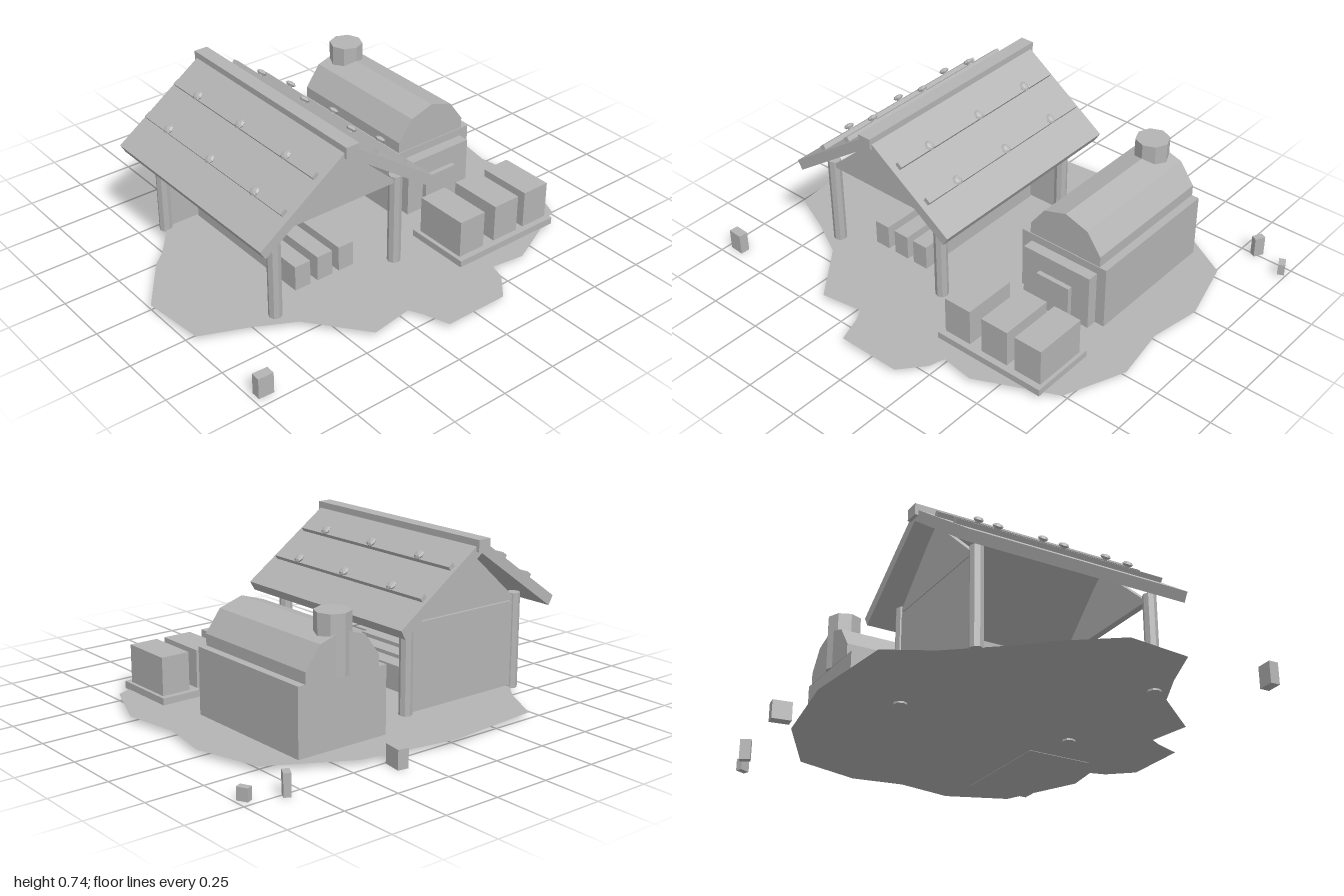
import * as THREE from 'three';

export function createModel() {
  const model = new THREE.Group();
  const grey = new THREE.MeshStandardMaterial({ color: 0xb4b4b4, flatShading: true });
  grey.name = 'plain grey';
  const sheet = grey.clone();
  sheet.name = 'plain grey sheet';
  sheet.side = THREE.DoubleSide;

  const add = (name, geometry, parent = model, material = grey) => {
    const mesh = new THREE.Mesh(geometry, material);
    mesh.name = name;
    parent.add(mesh);
    return mesh;
  };
  // box given by its minimum and maximum on each axis
  const box = (name, x0, x1, y0, y1, z0, z1, parent = model) => {
    const mesh = add(name, new THREE.BoxGeometry(x1 - x0, y1 - y0, z1 - z0), parent);
    mesh.position.set((x0 + x1) / 2, (y0 + y1) / 2, (z0 + z1) / 2);
    return mesh;
  };
  // outline in x, y pushed along z from z0 to z1
  const prism = (name, points, z0, z1, parent = model) => {
    const shape = new THREE.Shape(points.map(p => new THREE.Vector2(...p)));
    const geometry = new THREE.ExtrudeGeometry(shape, { depth: z1 - z0, bevelEnabled: false });
    return add(name, geometry.translate(0, 0, z0), parent);
  };
  const post = (name, x, z, y0, y1, radius, parent) => {
    const geometry = new THREE.CylinderGeometry(radius, radius, y1 - y0, 8);
    add(name, geometry, parent).position.set(x, (y0 + y1) / 2, z);
  };
  const group = name => {
    const g = new THREE.Group();
    g.name = name;
    model.add(g);
    return g;
  };

  // irregular flat yard, drawn in x and -z
  const outline = [
    [-1, 0], [-0.83, -0.23], [-0.77, -0.28], [-0.55, -0.55], [-0.45, -0.74], [0, -0.78],
    [0.43, -0.71], [0.77, -0.52], [0.85, -0.23], [0.81, 0], [0.85, 0.25], [0.74, 0.52],
    [0.4, 0.68], [0.25, 0.66], [0.23, 0.73], [0.14, 0.835], [-0.15, 0.835], [-0.19, 0.72],
    [-0.22, 0.665], [-0.41, 0.695], [-0.6, 0.455], [-0.77, 0.365], [-0.97, 0.28],
  ];
  const yardShape = new THREE.Shape(outline.map(([x, z]) => new THREE.Vector2(x, -z)));
  const yard = new THREE.ShapeGeometry(yardShape).rotateX(-Math.PI / 2);
  add('yard', yard, model, sheet).position.y = 0.022;

  // open shed with posts, back wall and two gables
  const shed = group('shed');
  const ridgeX = -0.342;
  for (const x of [-0.648, -0.036])
    for (const z of [-0.44, 0.36]) post('post', x, z, 0.014, 0.44, 0.029, shed);
  box('backWall', -0.645, -0.04, 0.03, 0.408, -0.455, -0.425, shed);
  for (const z of [-0.44, 0.36])
    prism('gable', [[-0.645, 0.413], [-0.04, 0.413], [ridgeX, 0.685]], z - 0.015, z + 0.015, shed);

  // roof slopes, battens and round fixings, mirrored about the ridge
  const slope = 0.7;
  for (const side of [-1, 1]) {
    const at = (d, y) => [ridgeX + side * d, y];
    const corners = [at(0, 0.73), at(0.433, 0.426), at(0.41, 0.386), at(0, 0.675)];
    prism('roofSlope', side > 0 ? corners.reverse() : corners, -0.55, 0.455, shed);
    for (const d of [0.143, 0.293]) {
      const fitting = new THREE.Group();
      fitting.name = 'battenRow';
      fitting.position.set(ridgeX + side * d, 0.73 - slope * d, 0);
      fitting.rotation.z = -side * Math.atan(slope);
      shed.add(fitting);
      box('batten', -0.014, 0.014, -0.005, 0.02, -0.53, 0.425, fitting);
      for (const z of [-0.35, -0.05, 0.255]) {
        const stem = add('fixingStem', new THREE.CylinderGeometry(0.012, 0.012, 0.02, 6), fitting);
        stem.position.set(0, 0.024, z);
        const cap = add('fixingCap', new THREE.SphereGeometry(0.023, 8, 4), fitting);
        cap.scale.y = 0.5;
        cap.position.set(0, 0.034, z);
      }
    }
  }
  box('ridgeBeam', -0.373, -0.31, 0.685, 0.736, -0.565, 0.466, shed);

  // three stacks of two long timbers
  const timber = group('timberStacks');
  for (const x of [-0.455, -0.342, -0.232])
    for (const y of [0.026, 0.083])
      box('timber', x - 0.038, x + 0.038, y, y + 0.057, -0.42, 0.286, timber);

  // kiln with a faceted vault, mouth and chimney
  const kiln = group('kiln');
  box('kilnBase', 0.18, 0.615, 0.022, 0.313, -0.565, 0.09, kiln);
  prism('kilnVault', [
    [0.22, 0.31], [0.58, 0.31], [0.58, 0.362], [0.51, 0.457],
    [0.4, 0.492], [0.29, 0.457], [0.22, 0.362],
  ], -0.567, 0.086, kiln);
  box('kilnMouth', 0.23, 0.57, 0.022, 0.277, 0.08, 0.14, kiln);
  box('kilnDoor', 0.315, 0.482, 0.022, 0.192, 0.13, 0.162, kiln);
  post('chimney', 0.4, -0.505, 0.31, 0.56, 0.075, kiln);

  // crates on a low pallet
  const crates = group('crates');
  box('pallet', 0.142, 0.672, 0.02, 0.052, 0.278, 0.58, crates);
  for (const x of [0.226, 0.419, 0.59])
    box('crate', x - 0.066, x + 0.066, 0.05, 0.22, 0.305, 0.552, crates);

  // loose blocks around the yard: x, z, width, height, depth, turn
  for (const [x, z, w, h, d, turn] of [
    [-0.945, 0.69, 0.068, 0.093, 0.042, -0.05],
    [0.328, -0.8, 0.047, 0.082, 0.085, -0.15],
    [0.82, -0.76, 0.03, 0.093, 0.048, -0.5],
    [0.972, -0.712, 0.03, 0.053, 0.048, 0.45],
  ]) {
    const block = add('looseBlock', new THREE.BoxGeometry(w, h, d));
    block.position.set(x, h / 2 + (h < 0.06 ? 0.006 : 0), z);
    block.rotation.y = turn;
  }
  return model;
}
